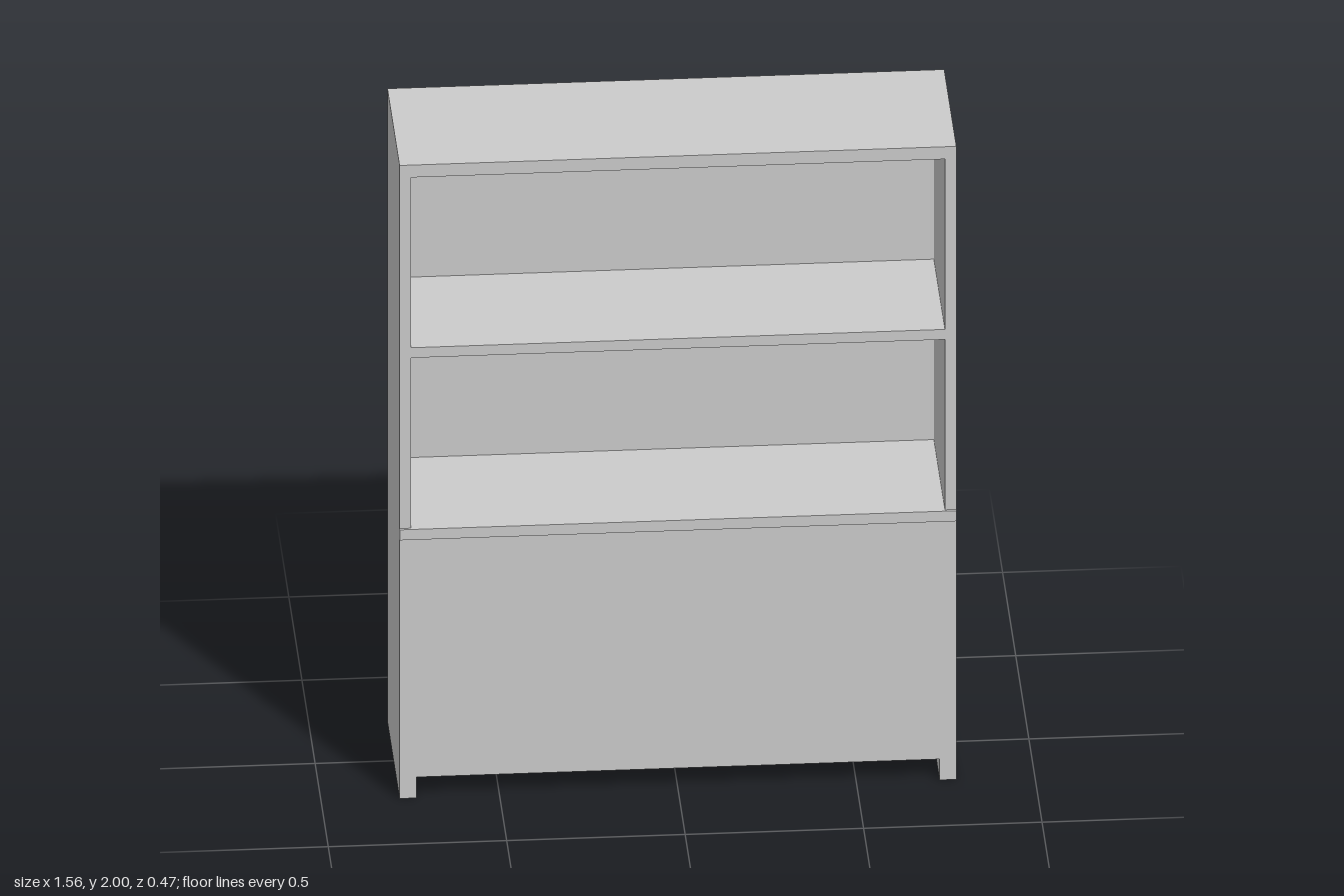
import * as THREE from 'three';

const W = 0.78;                        // half width
const BACK = -0.235, FRONT = 0.227;    // cabinet depth
const PANEL = 0.04;                    // back panel thickness
const FOOT = { inner: 0.733, top: 0.066 };
const OPENINGS = [[0.853, 1.391], [1.423, 1.961]];

const material = new THREE.MeshStandardMaterial({ color: 0xcccccc });

// Front outline with the gap between the two feet
function outline() {
  const { inner, top } = FOOT;
  return new THREE.Shape([
    [-W, 0], [-inner, 0], [-inner, top], [inner, top],
    [inner, 0], [W, 0], [W, 2], [-W, 2],
  ].map(([x, y]) => new THREE.Vector2(x, y)));
}

function slab(name, shape, z0, z1) {
  const geometry = new THREE.ExtrudeGeometry(shape, { depth: z1 - z0, bevelEnabled: false });
  geometry.translate(0, 0, z0);
  const mesh = new THREE.Mesh(geometry, material);
  mesh.name = name;
  return mesh;
}

export function createModel() {
  const group = new THREE.Group();
  group.name = 'bookcase';

  // Carcass: sides, top, shelves and closed lower cabinet, with two open bays
  const front = outline();
  const x = 0.748;
  for (const [y0, y1] of OPENINGS) {
    front.holes.push(new THREE.Path([
      [-x, y0], [-x, y1], [x, y1], [x, y0],
    ].map(([px, py]) => new THREE.Vector2(px, py))));
  }
  group.add(slab('carcass', front, BACK + PANEL, FRONT));

  // Back panel closing the bays
  group.add(slab('backPanel', outline(), BACK, BACK + PANEL));

  // Thin ledge along the front of the lower shelf
  const ledge = new THREE.Mesh(new THREE.BoxGeometry(2 * W, 0.033, 0.235 - FRONT), material);
  ledge.position.set(0, 0.8365, (0.235 + FRONT) / 2);
  ledge.name = 'shelfLedge';
  group.add(ledge);

  return group;
}
